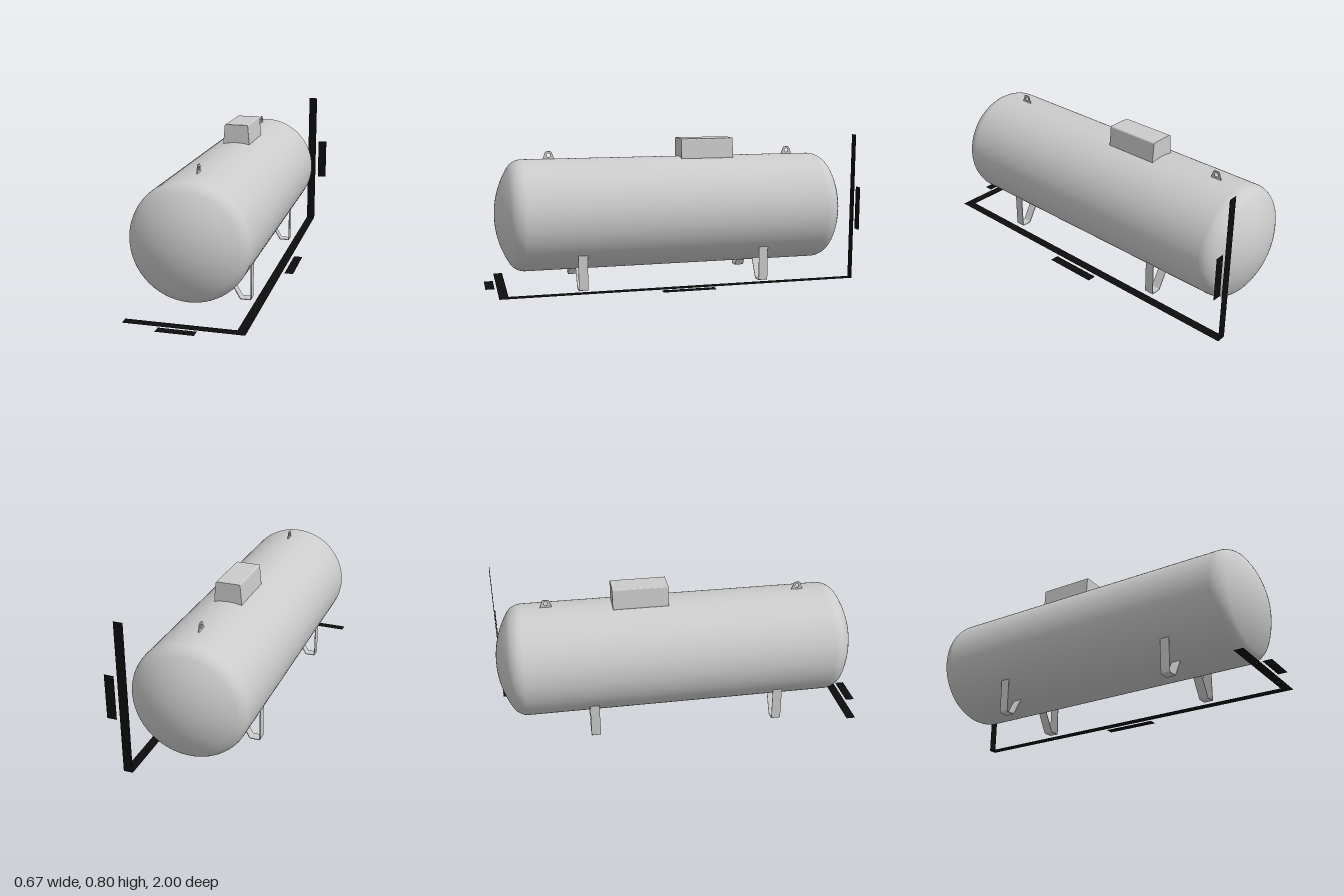
import * as THREE from 'three';

const CX = -0.035, CY = 0.38, R = 0.3; // tank axis and radius
const Z_BACK = -1, Z_FRONT = 0.94;

const grey = new THREE.MeshStandardMaterial({ color: 0xcccccc, side: THREE.DoubleSide });
const black = new THREE.MeshStandardMaterial({ color: 0x0d0d0d, side: THREE.DoubleSide });

function add(parent, name, geometry, material = grey) {
  const mesh = new THREE.Mesh(geometry, material);
  mesh.name = name;
  parent.add(mesh);
  return mesh;
}

// Dished head profile from apex to rim: [radius, distance from apex]
function headProfile() {
  const crown = 0.48, knuckle = 0.0924;
  const kr = R - knuckle;
  const a = Math.asin(kr / (crown - knuckle));
  const depth = crown - (crown - knuckle) * Math.cos(a);
  const pts = [];
  for (let i = 0; i <= 14; i++) {
    const t = (a * i) / 14;
    pts.push([crown * Math.sin(t), crown * (1 - Math.cos(t))]);
  }
  for (let i = 1; i <= 10; i++) {
    const t = a + ((Math.PI / 2 - a) * i) / 10;
    pts.push([kr + knuckle * Math.sin(t), depth - knuckle * Math.cos(t)]);
  }
  return pts;
}

// Polygon with rounded corners
function roundedShape(points, radius) {
  const shape = new THREE.Shape();
  const v = points.map(([x, y]) => new THREE.Vector2(x, y));
  v.forEach((p, i) => {
    const toward = (q) => p.clone().add(q.clone().sub(p).setLength(radius));
    const start = toward(v[(i + v.length - 1) % v.length]);
    const end = toward(v[(i + 1) % v.length]);
    if (i === 0) shape.moveTo(start.x, start.y);
    else shape.lineTo(start.x, start.y);
    shape.quadraticCurveTo(p.x, p.y, end.x, end.y);
  });
  shape.closePath();
  return shape;
}

const extrude = (shape, depth) =>
  new THREE.ExtrudeGeometry(shape, { depth, bevelEnabled: false, curveSegments: 8 });

// Bent strap foot: outer upright, flat sole, inner slanted brace
function legShape() {
  const s = new THREE.Shape();
  s.moveTo(0.232, 0.195);
  s.lineTo(0.232, 0.01);
  s.quadraticCurveTo(0.232, 0.002, 0.224, 0.002);
  s.lineTo(0.179, 0.002);
  s.quadraticCurveTo(0.174, 0.002, 0.171, 0.007);
  s.lineTo(0.114, 0.106);
  s.lineTo(0.118, 0.108);
  s.lineTo(0.174, 0.01);
  s.quadraticCurveTo(0.176, 0.006, 0.18, 0.006);
  s.lineTo(0.223, 0.006);
  s.quadraticCurveTo(0.228, 0.006, 0.228, 0.011);
  s.lineTo(0.228, 0.195);
  s.closePath();
  return s;
}

// Flat strip lying on the ground
function groundStrip(parent, name, x0, x1, z0, z1) {
  const strip = add(parent, name, new THREE.PlaneGeometry(x1 - x0, z1 - z0).rotateX(-Math.PI / 2), black);
  strip.position.set((x0 + x1) / 2, 0.001, (z0 + z1) / 2);
}

// Flat strip standing at the back
function uprightStrip(parent, name, x0, x1, y0, y1) {
  const strip = add(parent, name, new THREE.PlaneGeometry(x1 - x0, y1 - y0), black);
  strip.position.set((x0 + x1) / 2, (y0 + y1) / 2, Z_BACK);
}

export function createModel() {
  const model = new THREE.Group();
  model.name = 'storageTank';

  // Cylindrical vessel with dished heads
  const head = headProfile();
  const profile = [
    ...head.map(([r, d]) => new THREE.Vector2(r, Z_BACK + d)),
    ...[...head].reverse().map(([r, d]) => new THREE.Vector2(r, Z_FRONT - d)),
  ];
  const tank = add(model, 'tank', new THREE.LatheGeometry(profile, 96).rotateX(Math.PI / 2));
  tank.position.set(CX, CY, 0);

  // Protective valve cover on top
  const cover = add(model, 'valveCover', extrude(
    roundedShape([[-0.075, 0.668], [0.075, 0.668], [0.065, 0.78], [-0.065, 0.78]], 0.008), 0.295));
  cover.position.set(CX, 0, -0.37);

  // Lifting lugs
  const lugShape = roundedShape([[-0.034, 0.672], [0.034, 0.672], [0.016, 0.721], [-0.016, 0.721]], 0.008);
  const eye = new THREE.Path();
  eye.absarc(0, 0.7, 0.011, 0, Math.PI * 2, true);
  lugShape.holes.push(eye);
  for (const z of [0.645, -0.715]) {
    const lug = add(model, 'liftingLug', extrude(lugShape, 0.005).translate(0, 0, -0.0025).rotateY(Math.PI / 2));
    lug.position.set(CX, 0, z);
  }

  // Four strap legs
  for (const z of [0.5, -0.5]) {
    for (const turn of [0, Math.PI]) {
      const leg = add(model, 'leg', extrude(legShape(), 0.05).translate(0, 0, -0.025).rotateY(turn));
      leg.position.set(CX, 0, z);
    }
  }

  // Measuring bars along width, length and height, with blank label plates
  const bars = new THREE.Group();
  bars.name = 'measuringBars';
  model.add(bars);
  groundStrip(bars, 'lengthBar', 0.218, 0.267, Z_BACK, Z_FRONT);
  groundStrip(bars, 'widthBar', -0.335, 0.218, 0.891, Z_FRONT);
  uprightStrip(bars, 'heightBar', 0.218, 0.267, 0, 0.802);
  groundStrip(bars, 'lengthLabel', 0.282, 0.33, -0.19, 0.1);
  groundStrip(bars, 'widthLabel', -0.15, 0.04, 0.952, 1);
  uprightStrip(bars, 'heightLabel', 0.284, 0.335, 0.285, 0.52);

  return model;
}
